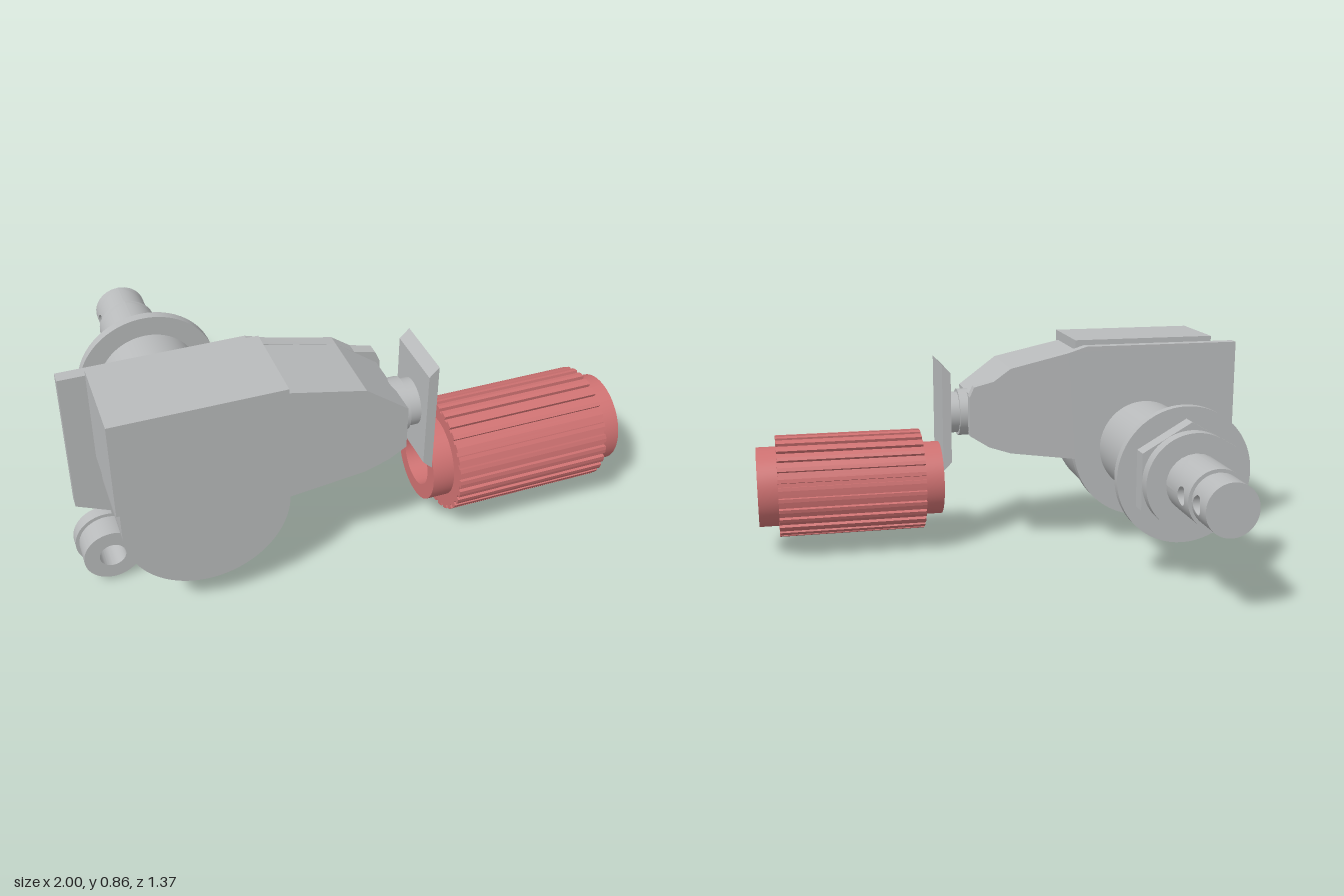
import * as THREE from 'three';
import { toCreasedNormals } from 'three/addons/utils/BufferGeometryUtils.js';

const grey = new THREE.MeshStandardMaterial({ color: 0xb9bbbc });
grey.name = 'grey metal';
const red = new THREE.MeshStandardMaterial({ color: 0xcf7272 });
red.name = 'red plastic';

const AX = -0.588, AY = 0.411; // main barrel axis, along z
const KY = 0.275, KZ = 0.475; // knob axis, along x

export function createModel() {
  const root = new THREE.Group();
  root.name = 'geared crank unit';

  const add = (parent, name, geo, mat = grey) => {
    const m = new THREE.Mesh(geo, mat);
    m.name = name;
    parent.add(m);
    return m;
  };
  const polygon = pts => new THREE.Shape(pts.map(p => new THREE.Vector2(...p)));
  const extrude = (shape, z0, z1) => toCreasedNormals(
    new THREE.ExtrudeGeometry(shape, { depth: z1 - z0, bevelEnabled: false, curveSegments: 32 })
      .translate(0, 0, z0), 0.15);
  const drill = (shape, x, y, r) => {
    shape.holes.push(new THREE.Path().absarc(x, y, r, 0, Math.PI * 2, true));
    return shape;
  };
  const ring = (x, y, r, hole) =>
    drill(new THREE.Shape().absarc(x, y, r, 0, Math.PI * 2, false), x, y, hole);
  const cylZ = (r, z0, z1, sides = 64) =>
    new THREE.CylinderGeometry(r, r, z1 - z0, sides).rotateX(Math.PI / 2)
      .translate(AX, AY, (z0 + z1) / 2);

  // Gear housing with a rounded bottom
  const body = new THREE.Shape();
  body.moveTo(-0.30, 0.857);
  body.lineTo(-0.887, 0.857);
  body.lineTo(-0.887, 0.497);
  body.lineTo(AX - 0.288, 0.497);
  body.absarc(AX, AY, 0.288, Math.PI, Math.PI * 2, false);
  body.lineTo(AX + 0.288, 0.497);
  body.lineTo(-0.30, 0.497);
  add(root, 'housing', extrude(body, 0.335, 0.655));

  // Tapered arm beside the housing
  add(root, 'arm', extrude(polygon([
    [-0.32, 0.372], [-0.02, 0.407], [0.07, 0.437], [0.135, 0.477],
    [0.135, 0.642], [-0.02, 0.757], [-0.32, 0.822]]), 0.33, 0.622));

  // Back plate, with the neck of the lug
  const plate = new THREE.Shape();
  plate.moveTo(-0.98, 0.836);
  plate.lineTo(-0.98, 0.297);
  plate.lineTo(-0.86, 0.242);
  plate.lineTo(-0.86, 0.197);
  plate.lineTo(-0.80, 0.147);
  plate.absarc(AX, AY, 0.30, Math.PI * 1.25, Math.PI * 1.955, false);
  for (const p of [[-0.02, 0.407], [0.07, 0.437], [0.148, 0.487], [0.148, 0.647], [0.13, 0.687],
    [0.05, 0.707], [-0.02, 0.757], [-0.26, 0.812], [-0.335, 0.836]]) plate.lineTo(...p);
  add(root, 'backPlate', extrude(plate, 0.29, 0.335));

  // Mounting lug
  add(root, 'lugPlate', extrude(ring(-0.885, 0.115, 0.115, 0.047), 0.29, 0.335));
  add(root, 'lugBoss', extrude(ring(-0.885, 0.115, 0.102, 0.047), 0.335, 0.425));

  // Barrel, flange, nut and washer
  add(root, 'barrel', cylZ(0.19, -0.17, 0.29));
  add(root, 'flange', cylZ(0.267, -0.205, -0.17));
  add(root, 'nut', toCreasedNormals(cylZ(0.22, -0.27, -0.205, 6), 0.5));
  add(root, 'washer', cylZ(0.19, -0.32, -0.27));

  // Output shaft: two steps, each cross-drilled along x
  const shaft = new THREE.Group();
  shaft.name = 'outputShaft';
  root.add(shaft);
  drilledStep(0.113, -0.55, -0.32, -0.475, 0.035);
  drilledStep(0.10, -0.685, -0.55, -0.597, 0.035);

  // Each side wall runs from the hole rim out to the edges of a half cylinder
  function drilledStep(R, z0, z1, zc, hole) {
    const N = 64, M = 14, W = N + 1;
    for (const side of [1, -1]) {
      const wall = [], bore = [], wallIdx = [], boreIdx = [];
      for (let j = 0; j <= M; j++) for (let i = 0; i <= N; i++) {
        const t = i / N * Math.PI * 2, c = Math.cos(t), s = Math.sin(t);
        const k = Math.max(Math.abs(c), Math.abs(s)), f = j / M;
        const zEdge = zc + (c > 0 ? z1 - zc : zc - z0) * c / k;
        const z = THREE.MathUtils.lerp(zc + hole * c, zEdge, f);
        const a = THREE.MathUtils.lerp(Math.asin(hole * s / R), s / k * Math.PI / 2, f);
        wall.push(AX + side * R * Math.cos(a), AY + R * Math.sin(a), z);
      }
      // Bore from the rim to the shaft centre
      bore.push(...wall.slice(0, W * 3));
      for (let i = 0; i <= N; i++) bore.push(AX, wall[i * 3 + 1], wall[i * 3 + 2]);

      const quad = (idx, a, out) => {
        const b = a + 1, c = a + W, d = c + 1;
        idx.push(...(out ? [a, b, c, b, d, c] : [a, c, b, b, c, d]));
      };
      for (let j = 0; j < M; j++) for (let i = 0; i < N; i++) quad(wallIdx, j * W + i, side > 0);
      for (let i = 0; i < N; i++) quad(boreIdx, i, side < 0);
      add(shaft, 'shaftWall', indexed(wall, wallIdx));
      add(shaft, 'crossBore', indexed(bore, boreIdx));
    }
    add(shaft, 'shaftEnd', new THREE.CircleGeometry(R, 64).rotateY(Math.PI).translate(AX, AY, z0));
  }
  function indexed(pos, idx) {
    const g = new THREE.BufferGeometry();
    g.setAttribute('position', new THREE.Float32BufferAttribute(pos, 3));
    g.setIndex(idx);
    g.computeVertexNormals();
    return g;
  }

  // Crank stub out of the arm
  const cylX = (r, x0, x1) => new THREE.CylinderGeometry(r, r, x1 - x0, 48)
    .rotateZ(Math.PI / 2).translate((x0 + x1) / 2, 0.552, KZ);
  add(root, 'stubCollar', cylX(0.097, 0.12, 0.172));
  add(root, 'stub', cylX(0.085, 0.17, 0.22));

  // Crank plate with slanted ends
  add(root, 'crankPlate', extrude(polygon([
    [0.215, 0.367], [0.25, 0.332], [0.25, 0.772], [0.215, 0.737]]), 0.35, 0.602));

  // Hollow ribbed knob, built along z then turned onto x
  const knob = new THREE.Group();
  knob.name = 'knob';
  knob.rotation.y = Math.PI / 2;
  knob.position.set(0, KY, KZ);
  root.add(knob);
  const TEETH = 28, outline = [];
  for (let i = 0; i < TEETH; i++) {
    for (const [f, r] of [[0, 0.195], [0.34, 0.195], [0.36, 0.208], [0.68, 0.209], [0.98, 0.208]]) {
      const a = (i + f) / TEETH * Math.PI * 2;
      outline.push([r * Math.cos(a), r * Math.sin(a)]);
    }
  }
  add(knob, 'ribbedGrip', extrude(drill(polygon(outline), 0, 0, 0.098), 0.33, 0.92), red);
  add(knob, 'innerCollar', extrude(ring(0, 0, 0.152, 0.098), 0.25, 0.33), red);
  add(knob, 'outerCollar', extrude(ring(0, 0, 0.163, 0.098), 0.92, 1.0), red);
  add(knob, 'innerWeb', extrude(ring(0, 0, 0.099, 0.058), 0.52, 0.6), red);

  return root;
}
